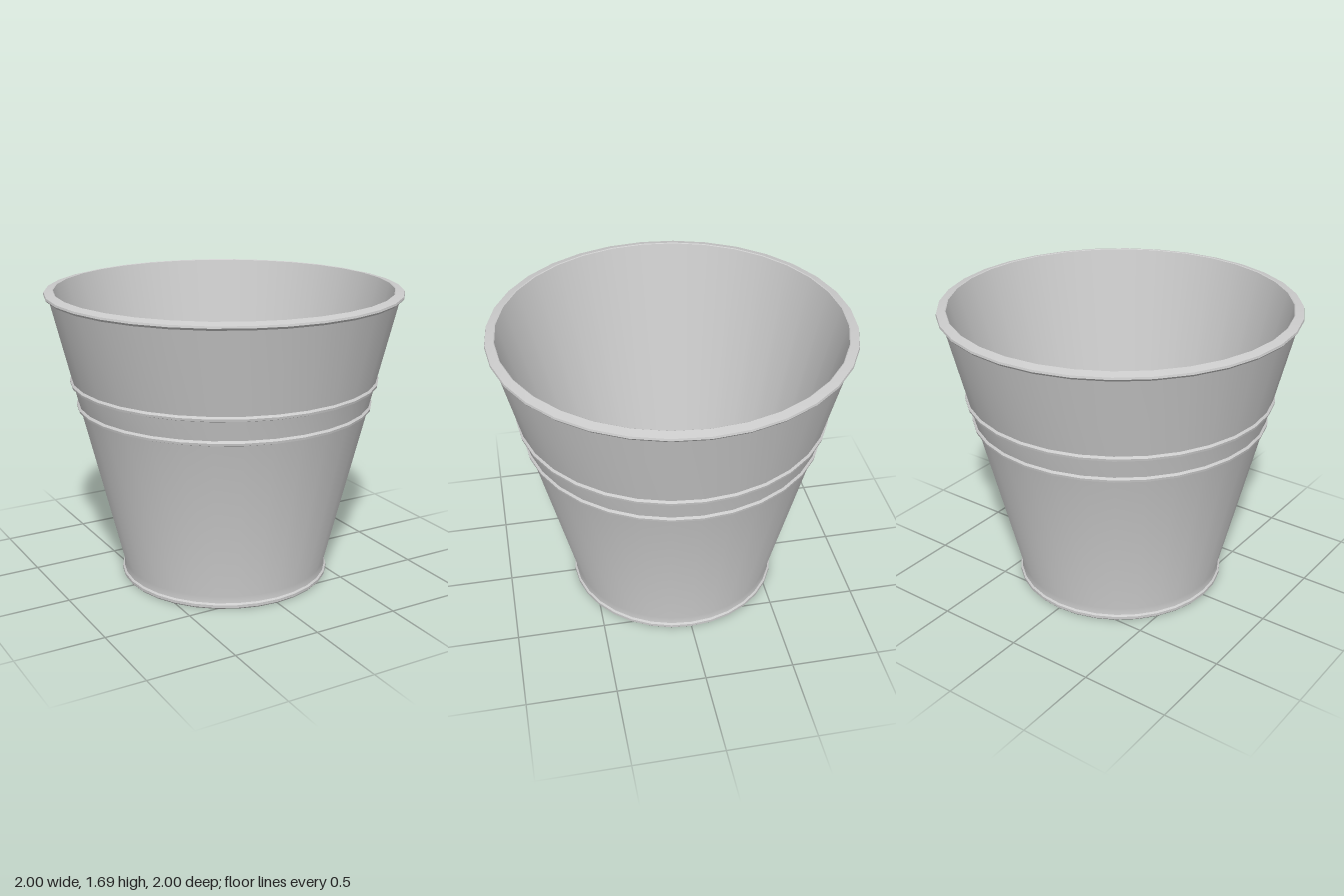
import * as THREE from 'three';
import { toCreasedNormals } from 'three/addons/utils/BufferGeometryUtils.js';

const SIDES = 32;
const material = new THREE.MeshStandardMaterial({ color: 0xcccccc });

// Revolve a list of [radius, height] pairs, keeping sharp profile edges
function turned(name, profile) {
  const points = profile.map(([r, y]) => new THREE.Vector2(r, y));
  const geometry = toCreasedNormals(new THREE.LatheGeometry(points, SIDES), Math.PI / 7);
  const mesh = new THREE.Mesh(geometry, material);
  mesh.name = name;
  return mesh;
}

// Outer wall radius at a height
const wall = (y) => 0.595 + 0.241 * (y - 0.07);

// Raised hoop: three-sided bead standing proud of the wall
const hoop = (y) => [
  [wall(y - 0.015), y - 0.015],
  [wall(y) + 0.012, y - 0.009],
  [wall(y) + 0.014, y + 0.004],
  [wall(y + 0.015), y + 0.015],
];

export function createModel() {
  const group = new THREE.Group();
  group.name = 'bucket';

  // Outside: base, foot band, tapered wall with two hoops, rolled rim
  group.add(turned('outerWall', [
    [0, 0], [0.6, 0], [0.607, 0.008], [0.607, 0.024], [0.597, 0.032],
    [0.594, 0.07],
    ...hoop(1.035),
    ...hoop(1.173),
    [wall(1.65), 1.65],
    [0.99, 1.653], [1, 1.665], [0.997, 1.676], [0.95, 1.688], [0.945, 1.685],
  ]));

  // Inside: tapered lining and flat floor
  group.add(turned('innerWall', [[0.945, 1.685], [0.555, 0.06], [0, 0.06]]));

  return group;
}
